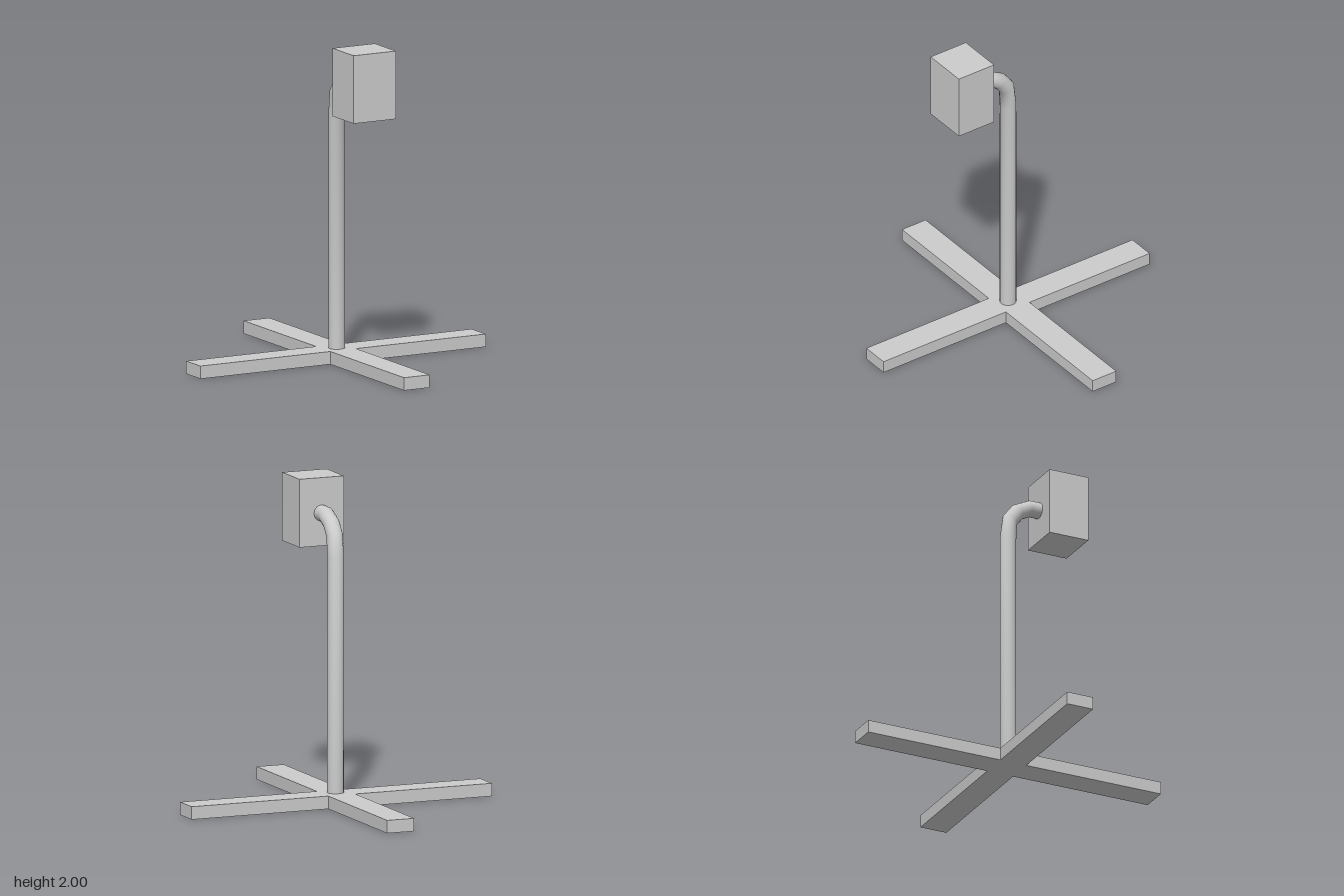
import * as THREE from 'three';

// Pole centreline rings: [height, depth, forward tilt in degrees]
const RINGS = [
  [0.08, 0, 0], [1.54, 0, 11], [1.673, 0.012, 33],
  [1.74, 0.063, 48], [1.78, 0.143, 81], [1.78, 0.22, 90],
];

// Curve that lands exactly on each ring, so the bend keeps its facets
class PoleCurve extends THREE.Curve {
  ring(u) {
    return RINGS[Math.round(u * (RINGS.length - 1))];
  }
  getPointAt(u, target = new THREE.Vector3()) {
    const [y, z] = this.ring(u);
    return target.set(0, y, z);
  }
  getTangentAt(u, target = new THREE.Vector3()) {
    const a = THREE.MathUtils.degToRad(this.ring(u)[2]);
    return target.set(0, Math.cos(a), Math.sin(a));
  }
}

export function createModel() {
  const model = new THREE.Group();
  model.name = 'bentPoleStand';
  const material = new THREE.MeshStandardMaterial({ color: 0xcccccc });

  const add = (name, geometry) => {
    const mesh = new THREE.Mesh(geometry, material);
    mesh.name = name;
    model.add(mesh);
    return mesh;
  };

  // Cross-shaped base, drawn in plan (shape y becomes -z)
  const w = 0.09, back = 0.097, front = -0.08;
  const cross = new THREE.Shape([
    [-w, -1], [w, -1], [w, front], [1, front], [1, back], [w, back],
    [w, 1], [-w, 1], [-w, back], [-1, back], [-1, front], [-w, front],
  ].map(([x, y]) => new THREE.Vector2(x, y)));
  const base = new THREE.ExtrudeGeometry(cross, { depth: 0.08, bevelEnabled: false });
  add('crossBase', base.rotateX(-Math.PI / 2));

  // Upright pole bending forward into the head
  add('bentPole', new THREE.TubeGeometry(new PoleCurve(), RINGS.length - 1, 0.051, 20));

  // Box head on the end of the pole
  add('boxHead', new THREE.BoxGeometry(0.296, 0.424, 0.264)).position.set(0, 1.788, 0.343);

  return model;
}
